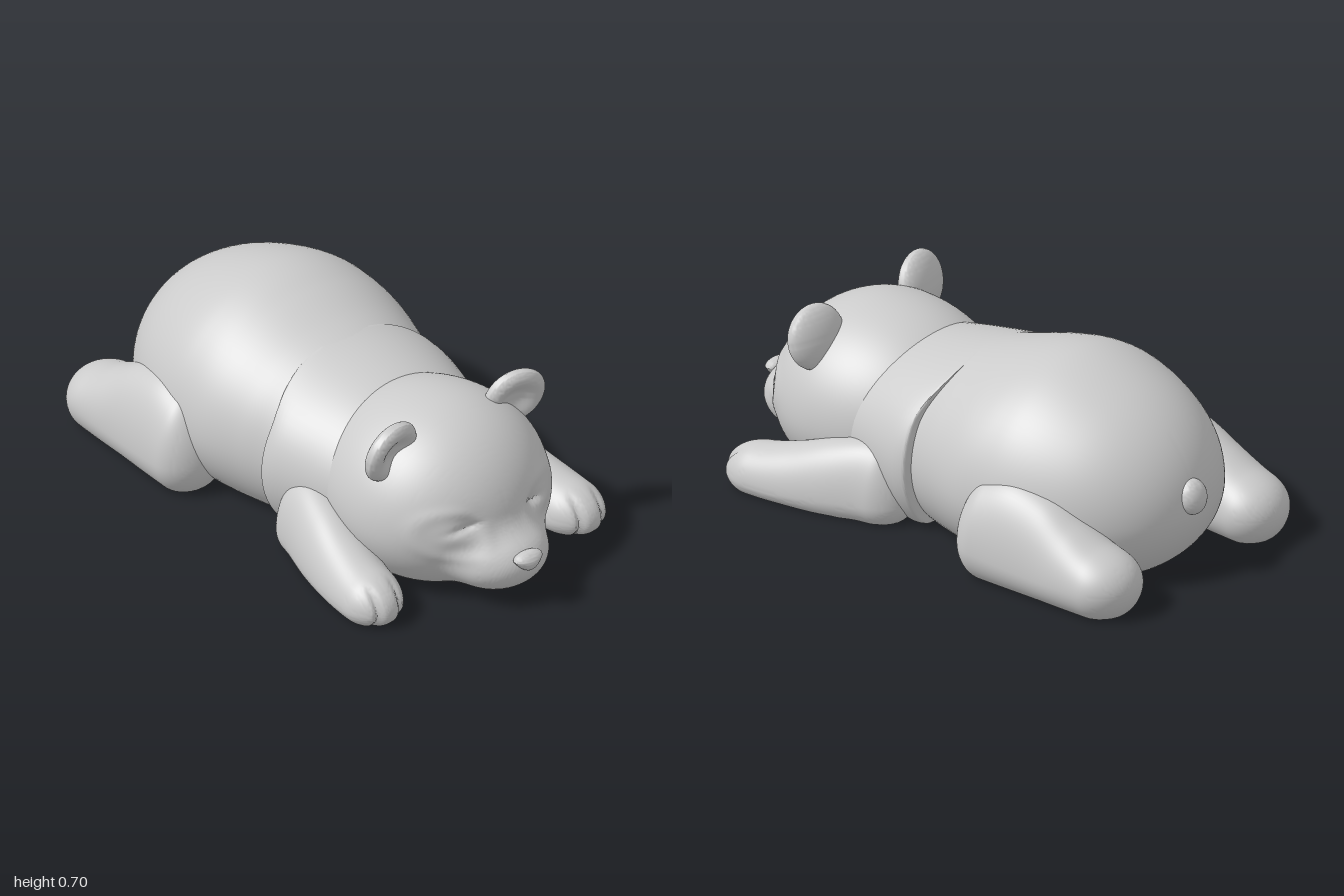
import * as THREE from 'three';
import { toCreasedNormals } from 'three/addons/utils/BufferGeometryUtils.js';

const material = new THREE.MeshStandardMaterial({ color: 0xcccccc });
const gauss = (d, s) => Math.exp(-(d * d) / (s * s));
const smooth = THREE.MathUtils.smoothstep;

function part(name, geometry, crease = 0.7) {
  const mesh = new THREE.Mesh(toCreasedNormals(geometry, crease), material);
  mesh.name = name;
  return mesh;
}

// Move every vertex of a geometry by a rule
function reshape(geometry, rule) {
  const p = geometry.attributes.position;
  const v = new THREE.Vector3();
  for (let i = 0; i < p.count; i++) {
    rule(v.fromBufferAttribute(p, i));
    p.setXYZ(i, v.x, v.y, v.z);
  }
  return geometry;
}

// Skin over sections [z, centreX, halfWidth, centreY, up, down], z rising,
// with elliptical ends of the given lengths and a flat floor at y = 0
function loft(sections, roundBack, roundFront, rows = 72, cols = 72) {
  const curve = (k) => new THREE.CatmullRomCurve3(
    sections.map((s) => new THREE.Vector3(s[k], s[k + 1], s[k + 2])), false, 'catmullrom');
  const c1 = curve(0), c2 = curve(3);
  const z0 = sections[0][0], z1 = sections.at(-1)[0];
  const end = (d, len) => {
    const u = THREE.MathUtils.clamp(1 - d / len, 0, 1);
    return Math.sqrt(1 - u * u);
  };
  const pos = [], index = [];
  for (let i = 0; i <= rows; i++) {
    const t = (1 - Math.cos((Math.PI * i) / rows)) / 2;
    const a = c1.getPoint(t), b = c2.getPoint(t);
    const f = end(a.x - z0, roundBack) * end(z1 - a.x, roundFront);
    for (let j = 0; j < cols; j++) {
      const w = (j / cols) * Math.PI * 2, s = Math.sin(w);
      const y = b.x + f * s * (s > 0 ? b.y : b.z);
      pos.push(a.y + f * a.z * Math.cos(w), Math.max(y, 0), a.x);
      if (i < rows) {
        const k = i * cols, n = (j + 1) % cols;
        index.push(k + j, k + n, k + cols + n, k + j, k + cols + n, k + cols + j);
      }
    }
  }
  const g = new THREE.BufferGeometry();
  g.setAttribute('position', new THREE.Float32BufferAttribute(pos, 3));
  g.setIndex(index);
  return g;
}

// Approximate distance to an ellipsoid
function ellipsoid(p, c, r) {
  const d = p.clone().sub(c);
  const k0 = d.clone().divide(r).length();
  const k1 = d.divide(r).divide(r).length();
  return k1 ? (k0 * (k0 - 1)) / k1 : -1;
}

// Skull and muzzle blended smoothly, with sunken closed eyes
function headGeometry() {
  const V = (x, y, z) => new THREE.Vector3(x, y, z);
  const origin = V(0, 0.22, 0.56), skull = V(0, 0.25, 0.48), muzzle = V(0, 0.148, 0.78);
  const muzzleR = V(0.19, 0.125, 0.187);
  const distance = (p) => {
    const r = V(0.39, p.y > skull.y ? 0.365 : 0.31, p.z > skull.z ? 0.375 : 0.48);
    const a = ellipsoid(p, skull, r), b = ellipsoid(p, muzzle, muzzleR);
    const k = 0.06, h = Math.max(k - Math.abs(a - b), 0) / k;
    return Math.min(a, b) - (h * h * k) / 4;
  };
  const g = new THREE.SphereGeometry(1, 120, 120).rotateX(Math.PI / 2);
  return reshape(g, (v) => {
    const dir = v.clone().normalize();
    let lo = 0, hi = 1;
    for (let i = 0; i < 22; i++) {
      const mid = (lo + hi) / 2;
      if (distance(v.copy(dir).multiplyScalar(mid).add(origin)) < 0) lo = mid;
      else hi = mid;
    }
    const x = Math.abs(v.x), y = v.y;
    if (v.z > 0.6) {
      const patch = Math.hypot((x - 0.2) / 0.13, (y - 0.28) / 0.1);
      const slit = gauss(y - 0.34 + 0.22 * x, 0.012) * gauss(x - 0.16, 0.05);
      lo += 0.005 * gauss(patch - 0.85, 0.2) - 0.012 * slit
        - 0.014 * gauss(x - 0.14, 0.05) * gauss(y - 0.32, 0.04)
        + 0.008 * gauss(x - 0.18, 0.05) * gauss(y - 0.27, 0.03);
    }
    v.copy(dir).multiplyScalar(lo).add(origin);
    v.y = Math.max(v.y, 0);
  });
}

export function createModel() {
  const model = new THREE.Group();

  // Round rump and back
  model.add(part('body', loft([
    [-0.95, 0, 0.475, 0.25, 0.445, 0.36],
    [-0.65, 0, 0.47, 0.25, 0.442, 0.36],
    [-0.4, 0, 0.475, 0.26, 0.445, 0.36],
    [-0.25, 0, 0.47, 0.26, 0.42, 0.36],
    [-0.1, 0, 0.43, 0.26, 0.375, 0.36],
    [0, 0, 0.395, 0.25, 0.355, 0.34],
    [0.1, 0, 0.36, 0.25, 0.32, 0.32],
  ], 0.55, 0.05, 90, 90)));

  // Chest band, its rear edge sweeping back over the spine
  const chest = loft([
    [-0.005, 0, 0.42, 0.25, 0.375, 0.37],
    [0.08, 0, 0.425, 0.25, 0.35, 0.37],
    [0.24, 0, 0.385, 0.25, 0.312, 0.34],
    [0.4, 0, 0.34, 0.25, 0.27, 0.3],
  ], 0.03, 0.05);
  model.add(part('chest', reshape(chest, (v) => {
    v.z -= 0.065 * smooth(v.y, 0.4, 0.625) * (1 - smooth(v.z, 0, 0.25));
  })));

  model.add(part('head', headGeometry()));

  // Rounded triangular nose
  model.add(part('nose', reshape(new THREE.SphereGeometry(1, 32, 24), (v) => {
    const y = Math.sign(v.y) * Math.abs(v.y) ** (v.y > 0 ? 1.4 : 1);
    v.set(v.x * 0.066 * (0.82 + 0.35 * v.y), 0.193 + y * (v.y > 0 ? 0.03 : 0.043), 0.962 + v.z * 0.038);
  }), 1.2));

  model.add(part('tail', new THREE.SphereGeometry(1, 32, 24)
    .scale(0.058, 0.065, 0.045).rotateX(0.2).translate(0, 0.31, -0.938)));

  for (const side of [1, -1]) {
    const label = side > 0 ? 'left' : 'right';
    const limb = (rows) => rows.map(([z, x, ...rest]) => [z, x * side, ...rest]);

    // Cupped ear
    const ear = part(label + 'Ear', reshape(new THREE.SphereGeometry(1, 48, 40), (v) => {
      const r = Math.hypot(v.x, v.y);
      const z = v.z * 0.05 - (v.z > 0 ? 0.045 * (1 - smooth(r, 0.1, 0.85)) : 0);
      v.set(v.x * 0.12, v.y * 0.118, z);
    }), 1.2);
    ear.position.set(0.276 * side, 0.542, 0.55);
    ear.rotation.set(0.22, -0.16 * side, 0);
    model.add(ear);

    // Front leg stretched forward, with toe grooves
    const arm = loft(limb([
      [0.07, 0.34, 0.1, 0.07, 0.17, 0.1],
      [0.2, 0.355, 0.115, 0.07, 0.21, 0.1],
      [0.35, 0.385, 0.13, 0.06, 0.195, 0.1],
      [0.5, 0.42, 0.128, 0.05, 0.155, 0.08],
      [0.64, 0.445, 0.118, 0.05, 0.118, 0.08],
      [0.78, 0.455, 0.105, 0.055, 0.1, 0.08],
    ]), 0.1, 0.13);
    model.add(part(label + 'FrontLeg', reshape(arm, (v) => {
      const x = Math.abs(v.x);
      v.z -= 0.018 * smooth(v.z, 0.66, 0.76) * (gauss(x - 0.405, 0.012) + gauss(x - 0.5, 0.012));
    })));

    // Hind leg stretched back: thigh running into the foot
    model.add(part(label + 'HindLeg', loft(limb([
      [-1, 0.385, 0.14, 0.1, 0.115, 0.13],
      [-0.88, 0.39, 0.145, 0.1, 0.127, 0.13],
      [-0.76, 0.395, 0.145, 0.1, 0.185, 0.13],
      [-0.64, 0.4, 0.142, 0.1, 0.25, 0.13],
      [-0.5, 0.405, 0.148, 0.11, 0.275, 0.14],
      [-0.38, 0.41, 0.15, 0.12, 0.245, 0.15],
      [-0.27, 0.41, 0.15, 0.13, 0.2, 0.16],
    ]), 0.13, 0.12)));
  }
  return model;
}
